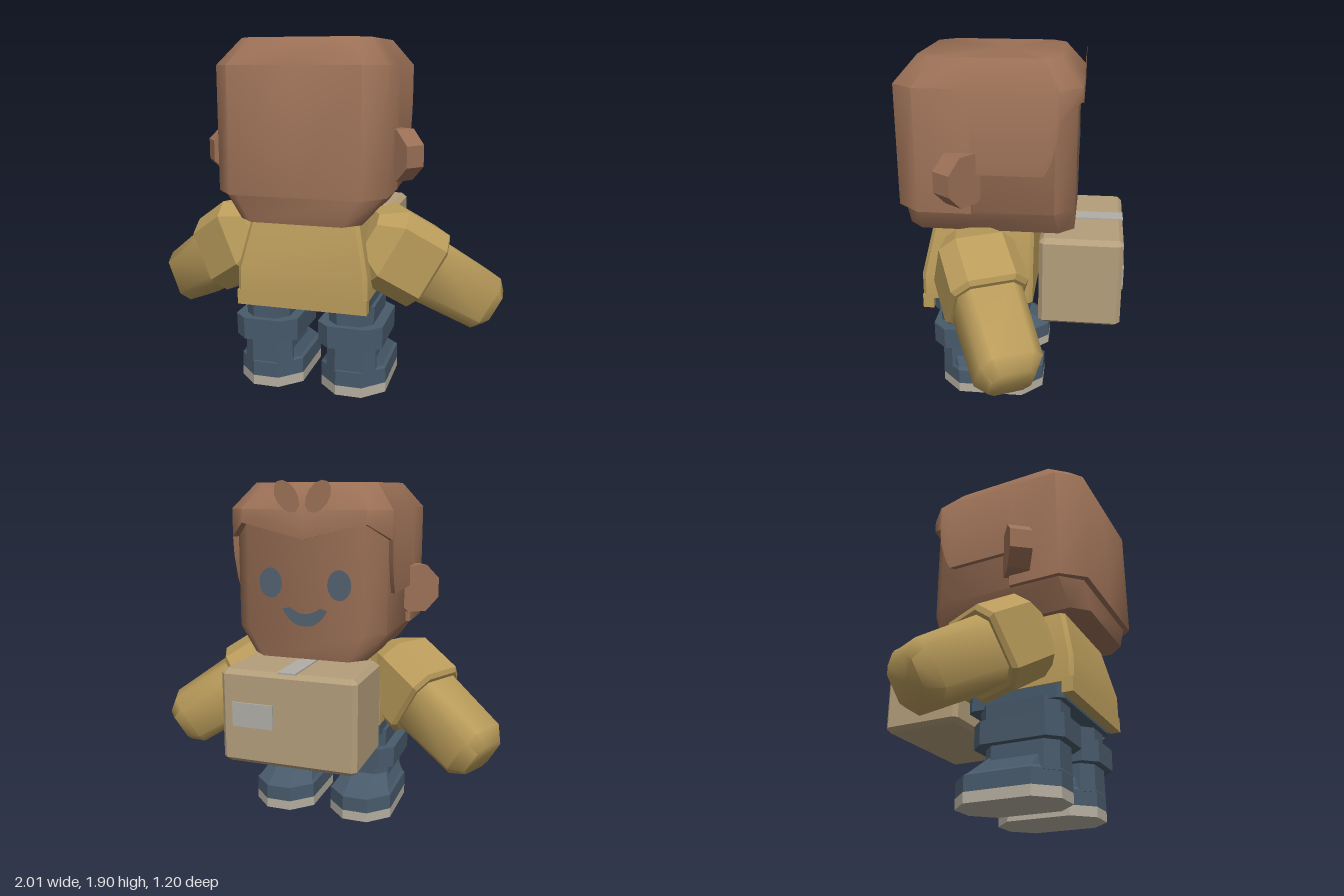
import * as THREE from 'three';
import { toCreasedNormals } from 'three/addons/utils/BufferGeometryUtils.js';

const mat = (name, color, side = THREE.FrontSide) => {
  const m = new THREE.MeshStandardMaterial({ color, side });
  m.name = name;
  return m;
};

// Skin a stack of rings (equal point counts), with optional end caps
function loft(rings, crease = 0.3, capStart = true, capEnd = true) {
  const pos = [];
  const tri = (...ps) => ps.forEach(p => pos.push(p.x, p.y, p.z));
  const n = rings[0].length;
  const centre = r => r.reduce((s, p) => s.add(p), new THREE.Vector3()).divideScalar(n);
  for (let k = 0; k < rings.length - 1; k++) {
    const a = rings[k], b = rings[k + 1];
    for (let i = 0; i < n; i++) {
      const j = (i + 1) % n;
      tri(a[i], a[j], b[j]);
      tri(a[i], b[j], b[i]);
    }
  }
  const first = rings[0], last = rings[rings.length - 1];
  const c0 = centre(first), c1 = centre(last);
  for (let i = 0; i < n; i++) {
    const j = (i + 1) % n;
    if (capStart) tri(c0, first[j], first[i]);
    if (capEnd) tri(c1, last[i], last[j]);
  }
  const g = new THREE.BufferGeometry();
  g.setAttribute('position', new THREE.Float32BufferAttribute(pos, 3));
  return toCreasedNormals(g, crease);
}

// Rectangle with cut corners, lying at height y
function octagon(y, hx, hz, c, cx = 0, cz = 0) {
  return [[hx - c, hz], [hx, hz - c], [hx, c - hz], [hx - c, -hz],
    [c - hx, -hz], [-hx, c - hz], [-hx, hz - c], [c - hx, hz]]
    .map(([x, z]) => new THREE.Vector3(x + cx, y, z + cz));
}

export function createModel() {
  const model = new THREE.Group();
  const brown = mat('brown', 0x9b7056);
  const brownLeaf = brown.clone();
  brownLeaf.side = THREE.DoubleSide;
  const mustard = mat('mustard', 0xba9c5b);
  const navy = mat('navy', 0x485a6b);
  const sole = mat('sole grey', 0xb6afa1);
  const card = mat('cardboard', 0xb49e7b);
  const tape = mat('tape grey', 0xb0aea6);
  const ink = mat('face blue', 0x52616f, THREE.DoubleSide);
  const add = (name, geo, m, parent = model) => {
    const mesh = new THREE.Mesh(geo, m);
    mesh.name = name;
    parent.add(mesh);
    return mesh;
  };
  const box = (name, m, x, y, z, w, h, d) =>
    add(name, new THREE.BoxGeometry(w, h, d), m).position.set(x, y, z);

  // Head with narrowing jaw
  add('head', loft([
    octagon(0.97, 0.32, 0.447, 0.08, 0, 0.123),
    octagon(1.11, 0.42, 0.447, 0.1, 0, 0.123),
    octagon(1.72, 0.42, 0.447, 0.1, 0, 0.123),
  ], 0.9), brown);

  // Hair: half outline from back to front as x, z, lower edge
  const half = [[0, 0.6, 1.11], [0.34, 0.6, 1.11], [0.445, 0.48, 1.11], [0.445, 0.2, 1.11],
    [0.445, 0.199, 1.32], [0.445, -0.17, 1.32], [0.445, -0.2, 1.38], [0.445, -0.235, 1.5],
    [0.445, -0.245, 1.6], [0.34, -0.35, 1.68], [0, -0.35, 1.6]];
  const outline = [...half, ...half.slice(1, -1).reverse().map(([x, z, y]) => [-x, z, y])];
  const hairRing = (s, y) => outline.map(([x, z, low]) =>
    new THREE.Vector3(x * s, y ?? low, 0.125 + (z - 0.125) * s));
  add('hair', loft([hairRing(0.93), hairRing(1), hairRing(1, 1.75), hairRing(0.76, 1.885)],
    0.9, false, true), brown);

  // Flat hair tufts
  for (const s of [1, -1]) {
    const leaf = new THREE.Shape();
    leaf.absellipse(0, 0, 0.058, 0.09, 0, Math.PI * 2);
    const tuft = add('hairTuft', new THREE.ShapeGeometry(leaf, 6), brownLeaf);
    tuft.position.set(s * 0.085, 1.815, -0.353);
    tuft.rotation.z = -s * 0.6;
  }

  // Ears turned towards the face
  for (const s of [1, -1]) {
    const ear = add('ear', loft([-0.059, 0.059].map(y => octagon(y, 0.132, 0.132, 0.077))), brown);
    ear.quaternion.setFromRotationMatrix(new THREE.Matrix4().makeBasis(
      new THREE.Vector3(0, 1, 0), new THREE.Vector3(s * 0.6, 0, -0.8), new THREE.Vector3(-0.8, 0, -s * 0.6)));
    ear.position.set(s * 0.449, 1.3, 0.247);
  }

  // Eyes and smile
  for (const s of [1, -1]) {
    const eye = new THREE.Shape();
    eye.absellipse(0, 0, 0.065, 0.08, 0, Math.PI * 2);
    add('eye', new THREE.ShapeGeometry(eye, 8), ink).position.set(s * 0.19, 1.37, -0.328);
  }
  const smile = new THREE.Shape();
  smile.moveTo(-0.125, 0.035);
  smile.quadraticCurveTo(-0.08, -0.055, 0, -0.055);
  smile.quadraticCurveTo(0.08, -0.055, 0.125, 0.035);
  smile.lineTo(0.085, 0.045);
  smile.quadraticCurveTo(0, -0.02, -0.085, 0.045);
  add('mouth', new THREE.ShapeGeometry(smile, 8), ink).position.set(0, 1.2, -0.328);

  // Shirt with a longer back hem
  add('shirt', loft([
    octagon(0.56, 0.352, 0.305, 0.02, 0, 0.195),
    octagon(0.7, 0.35, 0.305, 0.02, 0, 0.195),
    octagon(0.97, 0.29, 0.275, 0.02, 0, 0.165),
  ]), mustard);
  box('shirtHem', mustard, 0, 0.54, 0.47, 0.704, 0.08, 0.06);

  // Hips, legs, cuffs and shoes
  add('hips', loft([0.485, 0.57].map(y => octagon(y, 0.345, 0.265, 0.03, 0, 0.175))), navy);
  for (const s of [1, -1]) {
    const x = s * 0.235;
    const leg = new THREE.Group();
    leg.name = 'leg';
    model.add(leg);
    add('lowerLeg', loft([
      octagon(0.13, 0.138, 0.2, 0.06, x, 0.205),
      octagon(0.3, 0.132, 0.2, 0.06, x, 0.205),
    ]), navy, leg);
    add('cuff', loft([
      octagon(0.28, 0.175, 0.245, 0.07, x, 0.2),
      octagon(0.4, 0.178, 0.245, 0.07, x, 0.2),
    ]), navy, leg);
    add('upperLeg', loft([
      octagon(0.39, 0.122, 0.22, 0.06, x, 0.19),
      octagon(0.5, 0.128, 0.22, 0.06, x, 0.19),
    ]), navy, leg);
    add('shoe', loft([
      octagon(0.055, 0.182, 0.288, 0.11, x, 0.12),
      octagon(0.138, 0.18, 0.288, 0.11, x, 0.12),
      octagon(0.152, 0.165, 0.27, 0.1, x, 0.13),
      octagon(0.225, 0.125, 0.195, 0.06, x, 0.19),
    ]), navy, leg);
    add('shoeSole', loft([0, 0.055].map(y => octagon(y, 0.182, 0.288, 0.11, x, 0.12))), sole, leg);
  }

  // Arms: sleeve and forearm built along a slanting axis
  for (const s of [1, -1]) {
    const arm = new THREE.Group();
    arm.name = 'arm';
    const axis = new THREE.Vector3(s * 0.77, -0.52, -0.38).normalize();
    const side = new THREE.Vector3(s * 0.44, 0, 0.9).normalize();
    const up = new THREE.Vector3().crossVectors(side, axis).multiplyScalar(s).normalize();
    const third = new THREE.Vector3().crossVectors(up, axis);
    arm.quaternion.setFromRotationMatrix(new THREE.Matrix4().makeBasis(up, axis, third));
    arm.position.set(s * 0.35, 0.825, 0.215);
    add('sleeve', loft([
      octagon(-0.1, 0.13, 0.13, 0.05),
      octagon(0.02, 0.222, 0.205, 0.08),
      octagon(0.28, 0.222, 0.205, 0.08),
      octagon(0.3, 0.2, 0.185, 0.07),
    ]), mustard, arm);
    add('forearm', loft([
      octagon(0.25, 0.178, 0.172, 0.06),
      octagon(0.68, 0.158, 0.16, 0.055),
      octagon(0.75, 0.105, 0.11, 0.035),
    ], 0.95), mustard, arm);
    model.add(arm);
  }

  // Parcel with bevelled edges, tape and labels
  add('parcel', loft([
    octagon(0.447, 0.34, 0.2, 0.01, 0, -0.365),
    octagon(0.47, 0.368, 0.223, 0.022, 0, -0.365),
    octagon(0.925, 0.368, 0.223, 0.022, 0, -0.365),
    octagon(0.95, 0.34, 0.2, 0.01, 0, -0.365),
  ]), card);
  box('parcelTape', tape, 0, 0.953, -0.365, 0.1, 0.009, 0.446);
  box('frontLabel', tape, 0.188, 0.715, -0.592, 0.225, 0.13, 0.009);
  box('backLabel', tape, -0.188, 0.715, -0.138, 0.225, 0.13, 0.009);

  return model;
}
